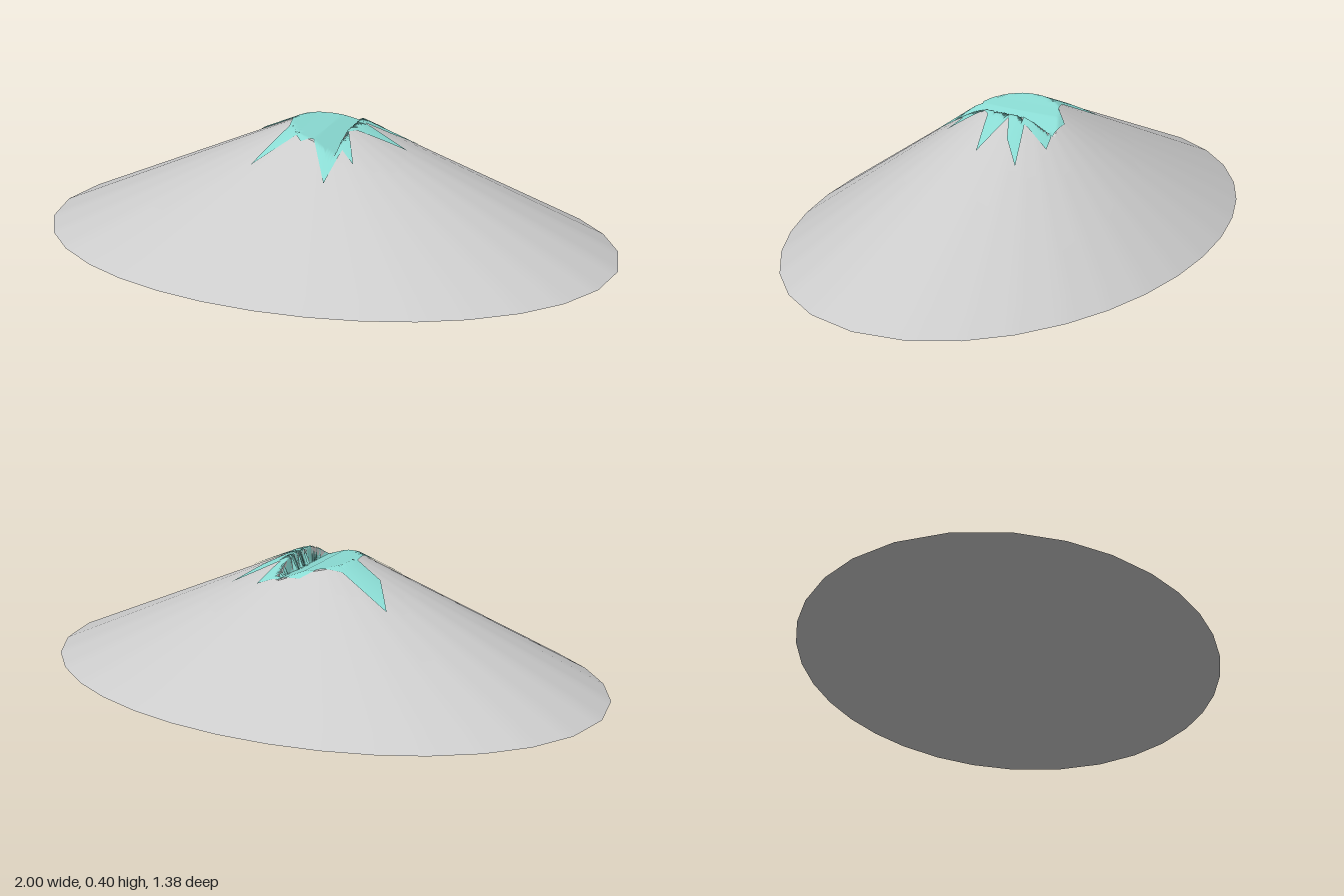
import * as THREE from 'three';

const PEAK = 0.4, TOP_R = 0.12, BASE_X = 1, BASE_Z = 0.69;

// Summit trough: dips gently across x, then steps back up to the right lip
const TROUGH = [[-0.11, 0.4], [-0.06, 0.39], [0, 0.38], [0.087, 0.345], [0.093, 0.4]];
function troughHeight(x) {
  for (let i = 1; i < TROUGH.length; i++) {
    const [x0, y0] = TROUGH[i - 1], [x1, y1] = TROUGH[i];
    if (x < x1) return THREE.MathUtils.lerp(y0, y1, Math.max(0, (x - x0) / (x1 - x0)));
  }
  return PEAK;
}

function bisect(isBelow) {
  let lo = 0, hi = 1;
  for (let i = 0; i < 30; i++) {
    const mid = (lo + hi) / 2;
    if (isBelow(mid)) lo = mid; else hi = mid;
  }
  return lo;
}

// Height of the mountain at any x, z
function height(x, z) {
  const t = bisect((k) => {
    const rx = BASE_X + (TOP_R - BASE_X) * k, rz = BASE_Z + (TOP_R - BASE_Z) * k;
    return (x / rx) ** 2 + (z / rz) ** 2 < 1;
  });
  return Math.min(PEAK * t, troughHeight(x));
}

// Skin closed rings of points, listed from inside to outside, facing up
function skin(rings) {
  const n = rings[0].length, index = [];
  for (let r = 0; r < rings.length - 1; r++) {
    for (let i = 0; i < n; i++) {
      const j = (i + 1) % n;
      const a = r * n + i, b = r * n + j, c = a + n, d = b + n;
      index.push(a, d, c, a, b, d);
    }
  }
  const geo = new THREE.BufferGeometry().setFromPoints(rings.flat());
  geo.setIndex(index);
  geo.computeVertexNormals();
  return geo;
}

// Cover the inside of an outline with a sheet that follows the mountain
function drape(outline, lift, steps) {
  const rings = [];
  for (let r = 0; r <= steps; r++) {
    const k = Math.max(r / steps, 0.001);
    rings.push(outline.map((p) =>
      new THREE.Vector3(p.x * k, height(p.x * k, p.z * k) + lift, p.z * k)));
  }
  return skin(rings);
}

function subdivide(points, count) {
  return points.flatMap((p, i) => {
    const q = points[(i + 1) % points.length];
    return Array.from({ length: count }, (_, k) => p.clone().lerp(q, k / count));
  });
}

export function createModel() {
  const group = new THREE.Group();
  const rock = new THREE.MeshStandardMaterial({ color: 0xcccccc });
  const snow = new THREE.MeshStandardMaterial({ color: 0x8adbd3, side: THREE.DoubleSide });
  const add = (name, geo, mat) => {
    const mesh = new THREE.Mesh(geo, mat);
    mesh.name = name;
    group.add(mesh);
  };

  // Oval foot outline, 32 sides, mirrored from one quadrant
  const quarter = [0, 14.3, 27, 38.5, 50, 60, 70, 80];
  const degrees = [
    ...quarter, 90, ...quarter.slice(1).reverse().map((a) => 180 - a),
  ];
  const angles = [...degrees, ...degrees.map((a) => a + 180)].map(THREE.MathUtils.degToRad);
  const ellipse = (rx, rz, y) =>
    angles.map((a) => new THREE.Vector3(Math.cos(a) * rx, y, Math.sin(a) * rz));
  const foot = subdivide(ellipse(BASE_X, BASE_Z, 0), 4);
  const peak = subdivide(ellipse(TOP_R, TOP_R, PEAK), 4);

  // Slopes run up until they meet the trough
  const rim = foot.map((p, i) => {
    const at = (t) => p.clone().lerp(peak[i], t);
    return at(bisect((t) => PEAK * t < troughHeight(at(t).x)));
  });
  const slopes = [];
  for (let r = 0; r <= 8; r++) slopes.push(rim.map((p, i) => p.clone().lerp(foot[i], r / 8)));
  add('mountainSlopes', skin(slopes), rock);
  add('summitTrough', drape(rim, 0, 20), rock);

  // Flat underside
  const base = new THREE.ShapeGeometry(
    new THREE.Shape(foot.map((p) => new THREE.Vector2(p.x, p.z))));
  base.rotateX(Math.PI / 2);
  add('underside', base, rock);

  // Snow cap with pointed tongues running down the slopes (x, z)
  const star = [
    [0.28, 0], [0.12, 0.05], [0.1, 0.075], [0.155, 0.19], [0.105, 0.155], [0.085, 0.28],
    [0, 0.14], [-0.04, 0.155], [-0.065, 0.13], [-0.19, 0.225], [-0.11, 0.075],
    [-0.125, 0], [-0.225, -0.03], [-0.31, -0.15], [-0.12, -0.1], [-0.05, -0.125],
    [0, -0.175], [0.085, -0.175], [0.155, -0.19], [0.12, -0.09], [0.28, -0.145],
    [0.2, -0.07], [0.12, -0.03],
  ].map(([x, z]) => new THREE.Vector3(x, 0, z));
  add('snowCap', drape(subdivide(star, 6), 0.004, 30), snow);

  return group;
}
